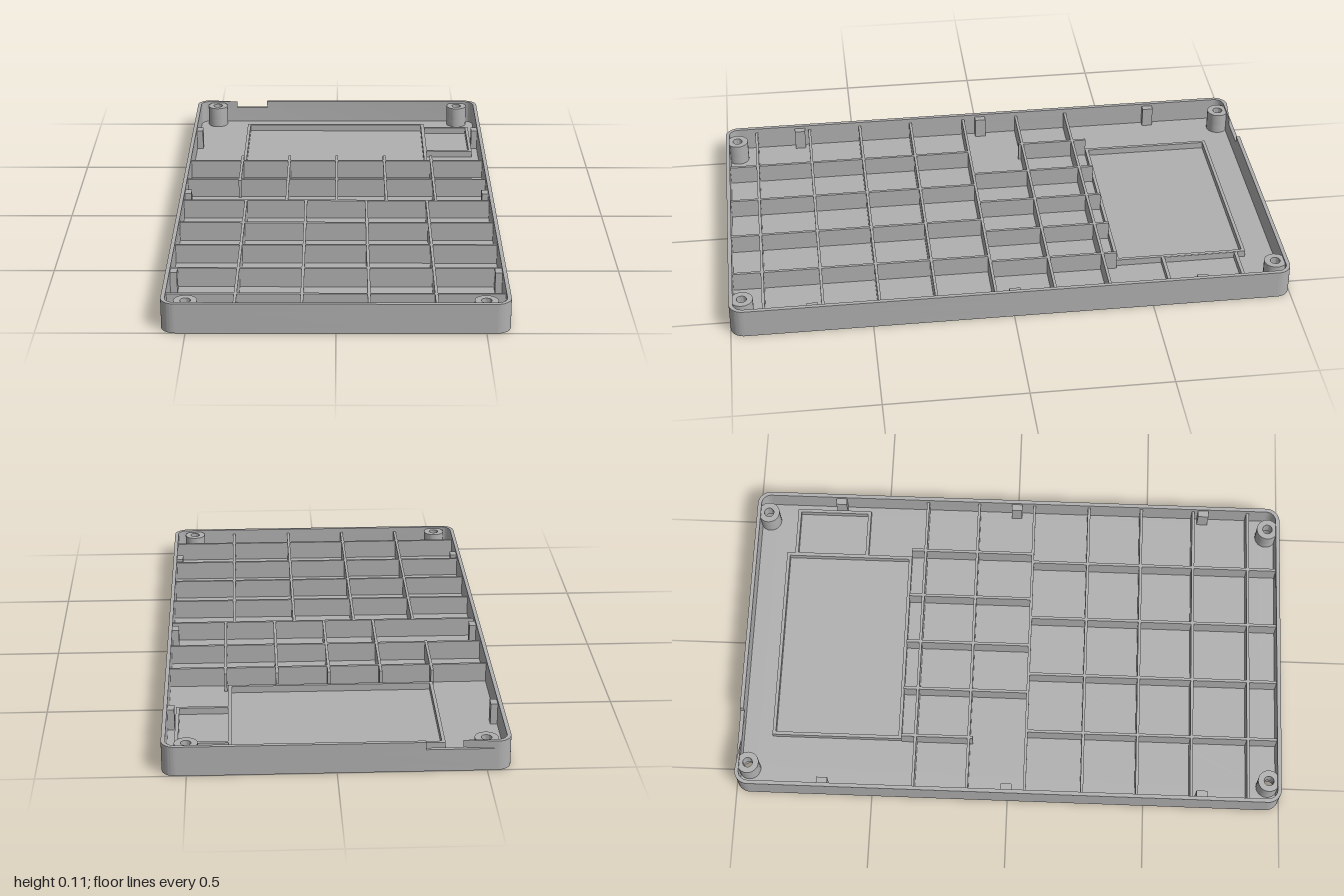
import * as THREE from 'three';
import { toCreasedNormals } from 'three/addons/utils/BufferGeometryUtils.js';

const W = 0.583, L = 1, H = 0.107, WALL = 0.014, FLOOR = 0.02;
const RIB_TOP = 0.09, RIB = 0.01, R = 0.05;
const NOTCH = [-0.42, -0.295], NOTCH_Y = 0.08;
const HOLES = [[-0.5, -0.955], [0.5, -0.955], [-0.5, 0.955], [0.5, 0.955]];

// Rounded rectangle as a path; shape y points to the back of the model
function roundedRect(path, w, l, r) {
  path.moveTo(w - r, l);
  path.absarc(-w + r, l - r, r, Math.PI / 2, Math.PI, false);
  path.absarc(-w + r, -l + r, r, Math.PI, Math.PI * 1.5, false);
  path.absarc(w - r, -l + r, r, Math.PI * 1.5, Math.PI * 2, false);
  path.absarc(w - r, l - r, r, 0, Math.PI / 2, false);
  return path;
}

function circle(path, x, y, r) {
  path.absarc(x, y, r, 0, Math.PI * 2, false);
  return path;
}

export function createModel() {
  const group = new THREE.Group();
  const grey = new THREE.MeshStandardMaterial({ color: 0xb0b0b0 });
  grey.name = 'grey plastic';

  function add(name, geometry) {
    const mesh = new THREE.Mesh(geometry, grey);
    mesh.name = name;
    group.add(mesh);
  }
  // Plan outline raised from y0 to y1
  function slab(name, shape, y0, y1) {
    const g = new THREE.ExtrudeGeometry(shape, { depth: y1 - y0, bevelEnabled: false, curveSegments: 12 });
    g.rotateX(-Math.PI / 2);
    g.translate(0, y0, 0);
    add(name, toCreasedNormals(g, 0.6));
  }
  function block(name, x0, x1, z0, z1, y0, y1) {
    const g = new THREE.BoxGeometry(x1 - x0, y1 - y0, z1 - z0);
    g.translate((x0 + x1) / 2, (y0 + y1) / 2, (z0 + z1) / 2);
    add(name, g);
  }
  const ribX = (z, x0, x1) => block('crossRib', x0, x1, z - RIB / 2, z + RIB / 2, FLOOR - 0.002, RIB_TOP);
  const ribZ = (x, z0, z1) => block('longRib', x - RIB / 2, x + RIB / 2, z0, z1, FLOOR - 0.002, RIB_TOP);

  // Floor with four screw holes
  const floor = roundedRect(new THREE.Shape(), W, L, R);
  HOLES.forEach(([x, z]) => floor.holes.push(circle(new THREE.Path(), x, -z, 0.028)));
  slab('floor', floor, 0, FLOOR);

  // Wall below the notch
  const iw = W - WALL, il = L - WALL, ir = R - WALL;
  const wall = roundedRect(new THREE.Shape(), W, L, R);
  wall.holes.push(roundedRect(new THREE.Path(), iw, il, ir));
  slab('wall', wall, FLOOR, NOTCH_Y);

  // Upper wall, open at the cable notch in the back
  const rim = new THREE.Shape();
  rim.moveTo(NOTCH[0], L);
  rim.absarc(-W + R, L - R, R, Math.PI / 2, Math.PI, false);
  rim.absarc(-W + R, -L + R, R, Math.PI, Math.PI * 1.5, false);
  rim.absarc(W - R, -L + R, R, Math.PI * 1.5, Math.PI * 2, false);
  rim.absarc(W - R, L - R, R, 0, Math.PI / 2, false);
  rim.lineTo(NOTCH[1], L);
  rim.lineTo(NOTCH[1], il);
  rim.absarc(W - R, L - R, ir, Math.PI / 2, 0, true);
  rim.absarc(W - R, -L + R, ir, 0, -Math.PI / 2, true);
  rim.absarc(-W + R, -L + R, ir, Math.PI * 1.5, Math.PI, true);
  rim.absarc(-W + R, L - R, ir, Math.PI, Math.PI / 2, true);
  rim.lineTo(NOTCH[0], il);
  rim.closePath();
  slab('rim', rim, NOTCH_Y, H);

  // Screw bosses: wide recess below, narrow hole above
  HOLES.forEach(([x, z]) => {
    [[0.028, FLOOR, 0.05], [0.018, 0.05, 0.1]].forEach(([hole, y0, y1]) => {
      const ring = circle(new THREE.Shape(), x, -z, 0.04);
      ring.holes.push(circle(new THREE.Path(), x, -z, hole));
      slab('screwBoss', ring, y0, y1);
    });
  });

  // Key grid
  [-0.347, -0.15, 0.062, 0.272, 0.473, 0.672, 0.88].forEach((z) => ribX(z, -iw - 0.003, iw + 0.003));
  [-0.37, -0.186, 0, 0.186, 0.37].forEach((x, i) => ribZ(x, -0.4, i ? 0.062 : -0.135));
  [-0.338, -0.114, 0.111, 0.337].forEach((x) => ribZ(x, 0.062, il + 0.003));

  // Low frames around the display and the small board beside it
  function frame(name, x0, x1, z0, z1, top) {
    const s = new THREE.Shape();
    s.moveTo(x0, -z0).lineTo(x0, -z1).lineTo(x1, -z1).lineTo(x1, -z0).closePath();
    const t = 0.012, p = new THREE.Path();
    p.moveTo(x0 + t, -z0 - t).lineTo(x0 + t, -z1 + t).lineTo(x1 - t, -z1 + t).lineTo(x1 - t, -z0 - t).closePath();
    s.holes.push(p);
    slab(name, s, FLOOR - 0.002, top);
  }
  frame('displayFrame', -0.372, 0.36, -0.88, -0.4, 0.045);
  frame('boardFrame', 0.35, 0.543, -0.85, -0.568, 0.044);

  // Snap posts along both side walls
  [-0.68, -0.005, 0.71].forEach((z) => [-1, 1].forEach((s) => {
    const a = s * 0.545, b = s * 0.572;
    block('snapPost', Math.min(a, b), Math.max(a, b), z - 0.02, z + 0.02, FLOOR - 0.002, 0.097);
  }));

  return group;
}
